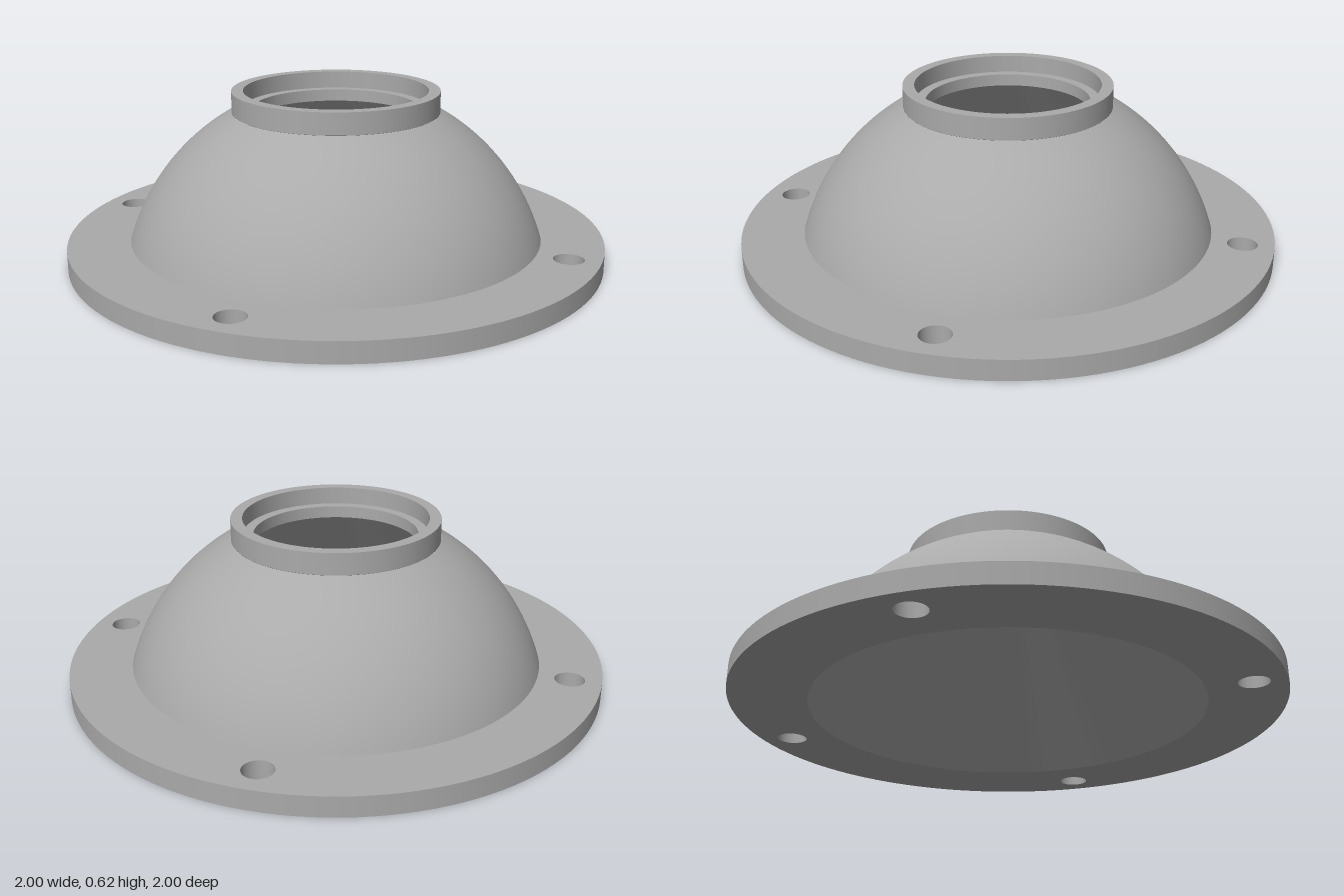
import * as THREE from 'three';

const SEG = 128;
const FLANGE_R = 1, FLANGE_H = 0.075;
const DOME_R = 0.77, MOUTH_R = 0.72;
const HOLE_R = 0.055, HOLE_POS = 0.885;

export function createModel() {
  const group = new THREE.Group();
  group.name = 'flangedDomeHousing';
  const grey = new THREE.MeshStandardMaterial({ color: 0xaaaaaa });
  grey.name = 'grey metal';

  const add = (name, geometry) => {
    const mesh = new THREE.Mesh(geometry, grey);
    mesh.name = name;
    group.add(mesh);
    return mesh;
  };
  // One smooth surface of revolution; seams between surfaces stay sharp.
  const turn = (name, points) =>
    add(name, new THREE.LatheGeometry(points.map(([r, y]) => new THREE.Vector2(r, y)), SEG));

  const holeCentres = [0, 1, 2, 3].map((i) => {
    const a = (i * Math.PI) / 2;
    return [HOLE_POS * Math.cos(a), HOLE_POS * Math.sin(a)];
  });

  // Flange faces, pierced by the centre opening and four bolt holes
  const flangeFace = (name, innerR, y, up) => {
    const shape = new THREE.Shape().absarc(0, 0, FLANGE_R, 0, Math.PI * 2);
    shape.holes.push(new THREE.Path().absarc(0, 0, innerR, 0, Math.PI * 2, true));
    for (const [x, z] of holeCentres) {
      shape.holes.push(new THREE.Path().absarc(x, z, HOLE_R, 0, Math.PI * 2, true));
    }
    const geometry = new THREE.ShapeGeometry(shape, SEG / 2);
    geometry.rotateX(up ? -Math.PI / 2 : Math.PI / 2);
    geometry.translate(0, y, 0);
    add(name, geometry);
  };
  flangeFace('flangeTop', DOME_R, FLANGE_H, true);
  flangeFace('flangeBottom', MOUTH_R, 0, false);
  turn('flangeRim', [[FLANGE_R, 0], [FLANGE_R, FLANGE_H]]);

  // Bolt hole walls, facing inwards
  for (const [x, z] of holeCentres) {
    const wall = new THREE.LatheGeometry(
      [new THREE.Vector2(HOLE_R, FLANGE_H), new THREE.Vector2(HOLE_R, 0)], 48);
    add('boltHole', wall).position.set(x, 0, z);
  }

  // Spherical outer dome
  const sphereR = 0.808, sphereY = -0.171;
  const a0 = Math.acos(DOME_R / sphereR), a1 = Math.acos(0.385 / sphereR);
  const dome = [];
  for (let i = 0; i <= 32; i++) {
    const a = a0 + ((a1 - a0) * i) / 32;
    dome.push([sphereR * Math.cos(a), sphereY + sphereR * Math.sin(a)]);
  }
  turn('dome', dome);

  // Collar with a recessed seat
  turn('collarOuter', [[0.385, 0.54], [0.385, 0.62]]);
  turn('collarTop', [[0.385, 0.62], [0.342, 0.62]]);
  turn('collarInner', [[0.342, 0.62], [0.342, 0.555]]);
  turn('collarSeat', [[0.342, 0.555], [0.304, 0.555]]);

  // Bore and conical cavity
  turn('bore', [[0.304, 0.555], [0.304, 0.51]]);
  turn('innerCone', [[0.304, 0.51], [MOUTH_R, 0]]);

  return group;
}
